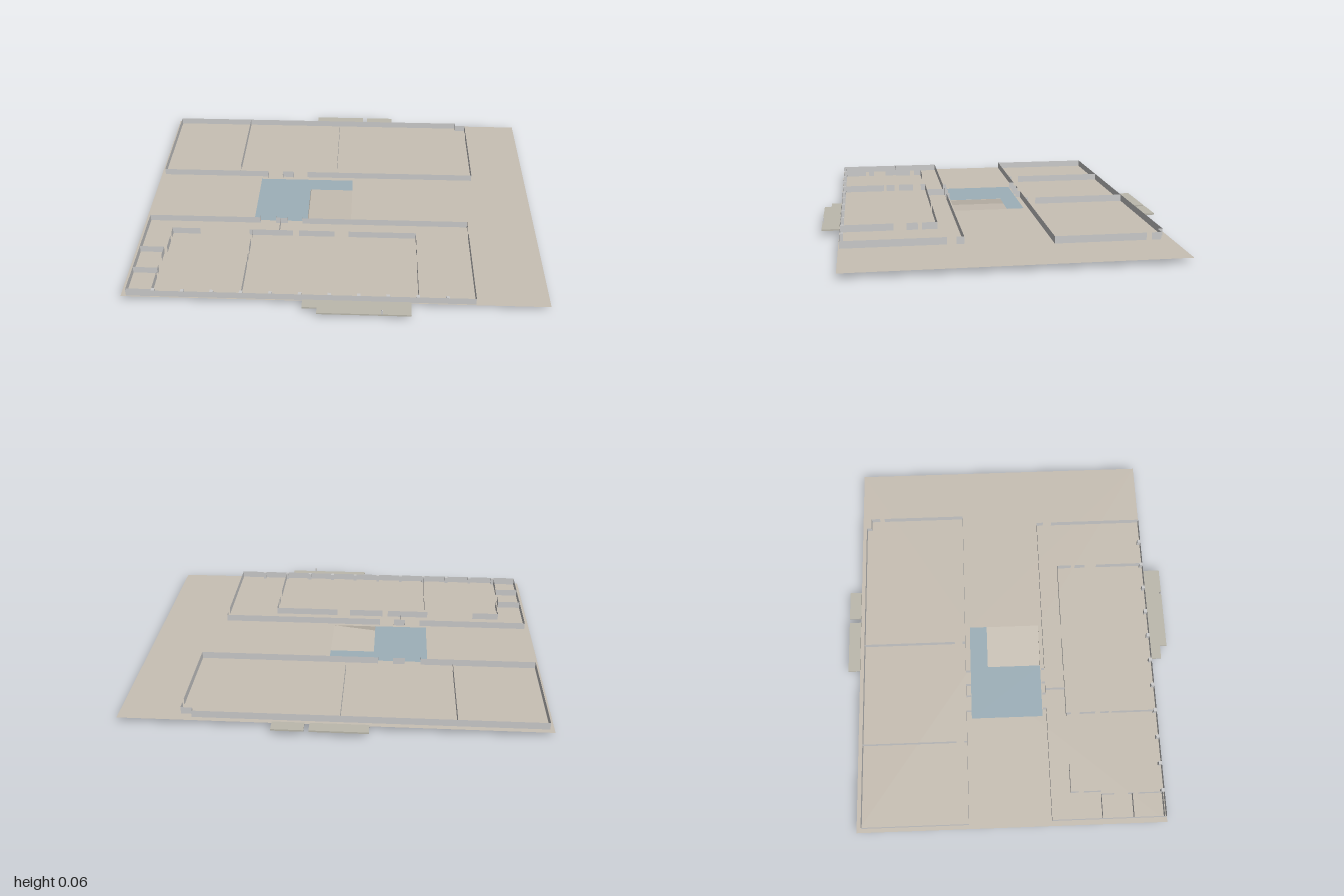
import * as THREE from 'three';

const FLOOR = 0.026, TOP = 0.061;
const mat = (color) => new THREE.MeshStandardMaterial({ color, side: THREE.DoubleSide, flatShading: true });

// Outline in plan (x, z) turned into a horizontal sheet
function sheet(points, y, material, name, hole) {
  const toV = ([x, z]) => new THREE.Vector2(x, -z);
  const shape = new THREE.Shape(points.map(toV));
  if (hole) shape.holes.push(new THREE.Path(hole.map(toV)));
  const mesh = new THREE.Mesh(new THREE.ShapeGeometry(shape).rotateX(-Math.PI / 2), material);
  mesh.position.y = y;
  mesh.name = name;
  return mesh;
}

const rect = (x0, z0, x1, z1) => [[x0, z0], [x0, z1], [x1, z1], [x1, z0]];

function slab(x0, x1, z0, z1, y0, y1, material, name) {
  const mesh = new THREE.Mesh(new THREE.BoxGeometry(x1 - x0, y1 - y0, z1 - z0), material);
  mesh.position.set((x0 + x1) / 2, (y0 + y1) / 2, (z0 + z1) / 2);
  mesh.name = name;
  return mesh;
}

export function createModel() {
  const model = new THREE.Group();
  const wallMat = mat(0xcccccc), floorMat = mat(0xc8c0b4);
  const glassMat = mat(0x9db0b9), stepMat = mat(0xbcb9ad);

  // Ground sheet with an opening for the ramp
  const rx0 = -0.165, rx1 = 0.06, rz0 = -0.2, rz1 = 0.165;
  model.add(sheet(rect(-1, -0.78, 1, 0.755), FLOOR, floorMat, 'floor', rect(rx0, rz0, rx1, rz1)));

  // L-shaped courtyard sheet that bridges part of the opening
  model.add(sheet([[-0.44, rz0], [-0.44, rz1], [rx0, rz1], [rx0, -0.11], [rx1, -0.11], [rx1, rz0]],
    FLOOR + 0.001, glassMat, 'courtyard'));

  // Sunken ramp: sloping bed, end wall and triangular sides
  const ramp = new THREE.Group();
  ramp.name = 'ramp';
  const bed = new THREE.PlaneGeometry(rx1 - rx0, rz1 - rz0).rotateX(-Math.PI / 2);
  bed.translate((rx0 + rx1) / 2, 0, (rz0 + rz1) / 2);
  const p = bed.attributes.position;
  for (let i = 0; i < p.count; i++) p.setY(i, FLOOR * (p.getX(i) - rx0) / (rx1 - rx0));
  bed.computeVertexNormals();
  ramp.add(new THREE.Mesh(bed, floorMat));
  const end = new THREE.Mesh(new THREE.PlaneGeometry(rz1 - rz0, FLOOR).rotateY(Math.PI / 2), floorMat);
  end.position.set(rx0, FLOOR / 2, (rz0 + rz1) / 2);
  ramp.add(end);
  const triangle = new THREE.ShapeGeometry(new THREE.Shape([
    new THREE.Vector2(rx0, 0), new THREE.Vector2(rx1, FLOOR), new THREE.Vector2(rx0, FLOOR)]));
  for (const z of [rz0, rz1]) {
    const side = new THREE.Mesh(triangle, floorMat);
    side.position.z = z;
    ramp.add(side);
  }
  model.add(ramp);

  // Wall sheets; each run lists start/end pairs along its line
  const walls = (name, alongX, runs) => {
    const group = new THREE.Group();
    group.name = name;
    for (const [at, ...spans] of runs) {
      for (let i = 0; i < spans.length; i += 2) {
        const a = spans[i], b = spans[i + 1];
        const geo = new THREE.PlaneGeometry(b - a, TOP - FLOOR);
        if (!alongX) geo.rotateY(Math.PI / 2);
        const wall = new THREE.Mesh(geo, wallMat);
        const mid = (a + b) / 2;
        wall.position.set(alongX ? mid : at, (FLOOR + TOP) / 2, alongX ? at : mid);
        group.add(wall);
      }
    }
    model.add(group);
  };

  // Rear wing
  walls('rearWingLongWalls', true, [
    [-0.755, -0.98, 0.655],
    [-0.73, 0.655, 0.71],
    [-0.225, -0.98, -0.405, -0.325, -0.265, -0.19, 0.71],
  ]);
  walls('rearWingCrossWalls', false, [
    [-0.98, -0.755, -0.225],
    [-0.565, -0.755, -0.28, -0.24, -0.225],
    [-0.03, -0.755, -0.28, -0.24, -0.225],
    [0.655, -0.755, -0.73],
    [0.71, -0.73, -0.685, -0.66, -0.225],
    ...[-0.405, -0.325, -0.265, -0.19].map((x) => [x, -0.225, -0.2]),
  ]);

  // Front wing with its corridor
  walls('frontWingLongWalls', true, [
    [0.185, -0.975, -0.405, -0.325, -0.265, -0.19, 0.655],
    [0.285, -0.84, -0.7, -0.45, -0.23, -0.2, -0.02, 0.05, 0.39],
    [0.435, -0.975, -0.855],
    [0.59, -0.975, -0.855],
    [0.74, -0.975, -0.855],
    [0.75, -0.975, 0.655],
  ]);
  walls('frontWingCrossWalls', false, [
    [-0.975, 0.185, 0.75],
    [-0.84, 0.285, 0.325, 0.35, 0.435],
    [-0.855, 0.435, 0.5, 0.57, 0.6, 0.62, 0.74],
    [-0.435, 0.285, 0.31, 0.355, 0.435, 0.46, 0.505, 0.52, 0.74],
    [-0.3, 0.185, 0.285],
    [0.39, 0.285, 0.36, 0.38, 0.435, 0.497, 0.75],
    [0.655, 0.185, 0.22, 0.265, 0.75],
    ...[-0.405, -0.325, -0.265, -0.19].map((x) => [x, 0.168, 0.185]),
  ]);

  // Pilasters along the inside of the front wall
  for (let i = 0; i < 11; i++) {
    const x = -0.847 + i * 0.137;
    model.add(slab(x - 0.008, x + 0.008, 0.734, 0.75, FLOOR, TOP, wallMat, 'pilaster'));
  }

  // Entrance platforms at front and rear
  const y1 = 0.034;
  model.add(slab(-0.15, -0.08, 0.755, 0.805, FLOOR, y1, stepMat, 'frontStep'));
  model.add(slab(-0.08, 0.355, 0.755, 0.84, FLOOR, y1, stepMat, 'frontPlatform'));
  model.add(slab(0.216, 0.224, 0.832, 0.838, y1, 0.056, wallMat, 'post'));
  model.add(slab(-0.165, 0.107, -0.84, -0.78, FLOOR, y1, stepMat, 'rearPlatform'));
  model.add(slab(0.13, 0.28, -0.84, -0.78, FLOOR, y1, stepMat, 'rearPlatform'));
  return model;
}
